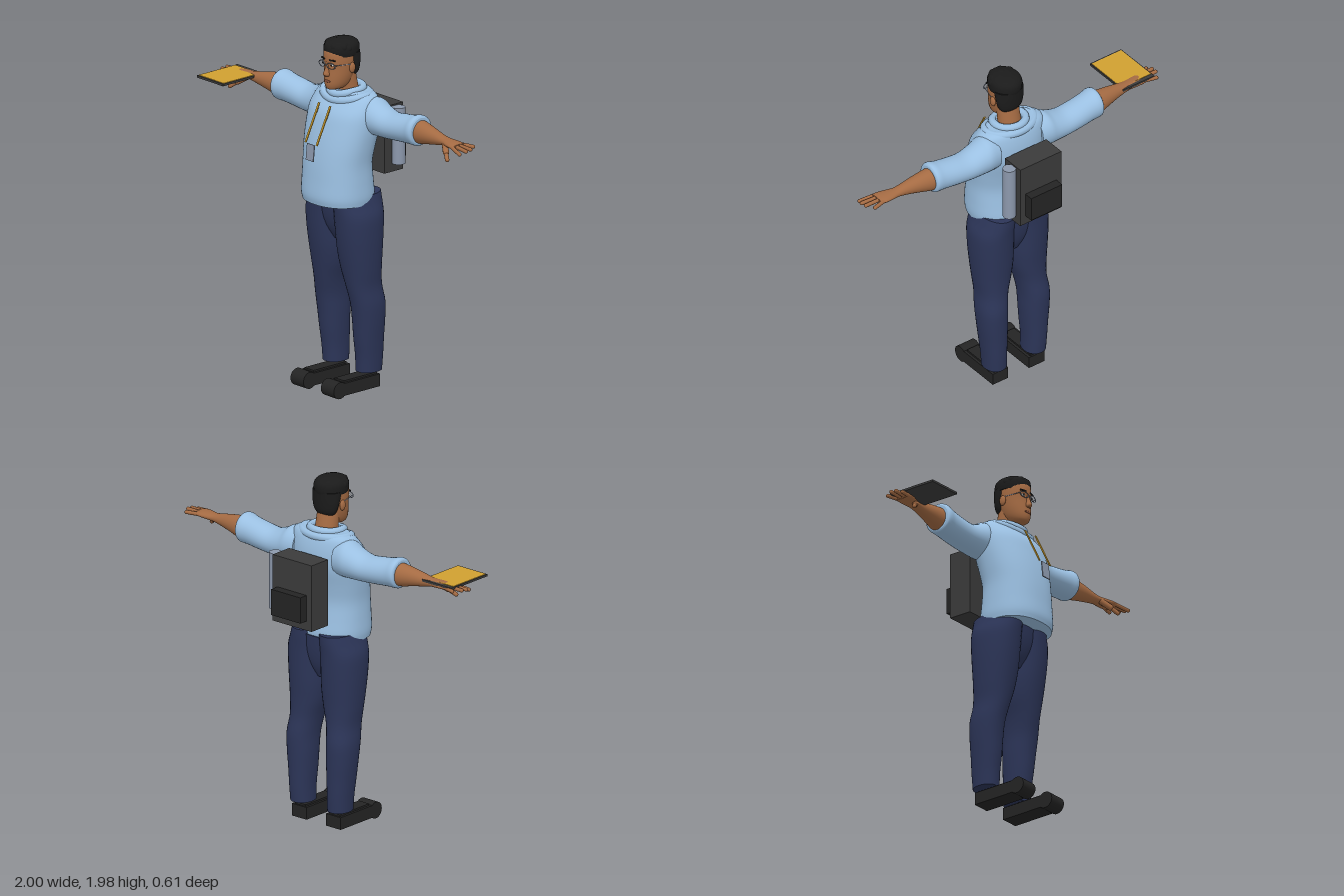
import * as THREE from 'three';

const V = (x, y, z) => new THREE.Vector3(x, y, z);
const mat = (name, color) => Object.assign(new THREE.MeshStandardMaterial({ color }), { name });

// Smooth capped solid through oval sections.
// axis 'y': [y, cx, cz, rx, rz]; axis 'x': [x, cy, cz, ry, rz], with side = +1 or -1.
function loft(sections, { axis = 'y', side = 1, n = 32, power = 2, steps = 4 } = {}) {
  const mid = new THREE.CatmullRomCurve3(sections.map(s => V(s[0], s[1], s[2])), false, 'catmullrom');
  const rad = new THREE.CatmullRomCurve3(sections.map(s => V(s[3], s[4], 0)), false, 'catmullrom');
  const rows = (sections.length - 1) * steps;
  const pos = [], idx = [];
  const flip = axis === 'x' && side > 0;
  const tri = (a, b, c) => (flip ? idx.push(a, c, b) : idx.push(a, b, c));
  const put = (u, p, q) => (axis === 'y' ? pos.push(p, u, q) : pos.push(side * u, p, q));
  const bend = v => Math.sign(v) * Math.abs(v) ** (2 / power);
  const ring = (t) => {
    const c = mid.getPoint(t), r = rad.getPoint(t);
    for (let i = 0; i < n; i++) {
      const a = (i / n) * Math.PI * 2;
      put(c.x, c.y + r.x * bend(Math.cos(a)), c.z + r.y * bend(Math.sin(a)));
    }
    return c;
  };
  for (let k = 0; k <= rows; k++) ring(k / rows);
  for (let k = 0; k < rows; k++) for (let i = 0; i < n; i++) {
    const a = k * n + i, b = k * n + (i + 1) % n;
    tri(a, a + n, b);
    tri(b, a + n, b + n);
  }
  for (const t of [0, 1]) {
    const base = pos.length / 3, c = ring(t);
    put(c.x, c.y, c.z);
    for (let i = 0; i < n; i++) {
      const a = base + i, b = base + (i + 1) % n;
      t ? tri(base + n, b, a) : tri(base + n, a, b);
    }
  }
  const g = new THREE.BufferGeometry();
  g.setAttribute('position', new THREE.Float32BufferAttribute(pos, 3));
  g.setIndex(idx);
  g.computeVertexNormals();
  return g;
}

export function createModel() {
  const model = new THREE.Group();
  model.name = 'standingMan';
  const shirt = mat('light blue shirt', 0x9bc0e2), navy = mat('navy trousers', 0x2c3558);
  const skin = mat('skin', 0xa56b43), hair = mat('black hair', 0x1b1b1b);
  const gold = mat('gold', 0xd0a030), charcoal = mat('charcoal', 0x3b3b3b);
  const black = mat('black shoe', 0x242424), steel = mat('steel grey', 0x8c98ac);
  const lip = mat('lip brown', 0x87503a), white = mat('eye white', 0xd8d8d8);

  const add = (name, geo, material, x = 0, y = 0, z = 0) => {
    const m = new THREE.Mesh(geo, material);
    m.name = name;
    m.position.set(x, y, z);
    model.add(m);
    return m;
  };
  const box = (name, w, h, d, material, x, y, z) => add(name, new THREE.BoxGeometry(w, h, d), material, x, y, z);
  const ball = (name, rx, ry, rz, material, x, y, z) =>
    add(name, new THREE.SphereGeometry(1, 18, 12).scale(rx, ry, rz), material, x, y, z);
  // Round-ended rod from a to b
  const rod = (name, a, b, r, material) => {
    const m = add(name, new THREE.CapsuleGeometry(r, a.distanceTo(b), 4, 10), material);
    m.position.copy(a).lerp(b, 0.5);
    m.quaternion.setFromUnitVectors(V(0, 1, 0), b.clone().sub(a).normalize());
    return m;
  };

  // Shirt body and loose collar rolls
  add('shirtBody', loft([
    [1.075, 0, 0.1, 0.2, 0.172], [1.12, 0, 0.1, 0.206, 0.18], [1.2, 0, 0.102, 0.204, 0.172],
    [1.3, 0, 0.102, 0.203, 0.163], [1.4, 0, 0.086, 0.215, 0.162], [1.5, 0, 0.062, 0.226, 0.16],
    [1.58, 0, 0.048, 0.226, 0.146], [1.64, 0, 0.03, 0.213, 0.118], [1.675, 0, 0.02, 0.19, 0.095],
    [1.695, 0, 0.022, 0.14, 0.08],
  ], { n: 48, power: 2.25 }), shirt);
  const roll = (name, rx, front, back, yf, ys, yb, r) => {
    const pts = [];
    for (let i = 0; i < 16; i++) {
      const a = (i / 16) * Math.PI * 2, c = Math.cos(a);
      const y = c > 0 ? ys + (yf - ys) * c * c : ys + (yb - ys) * c * c;
      pts.push(V(rx * Math.sin(a), y, (front + back) / 2 + c * (front - back) / 2));
    }
    add(name, new THREE.TubeGeometry(new THREE.CatmullRomCurve3(pts, true), 64, r, 10, true), shirt);
  };
  roll('collar', 0.092, 0.125, -0.05, 1.675, 1.695, 1.7, 0.022);
  roll('collarFold', 0.15, 0.135, -0.065, 1.642, 1.672, 1.672, 0.024);

  // Trousers: seat and two legs
  add('trouserSeat', loft([
    [0.85, 0, 0.045, 0.05, 0.07], [0.92, 0, 0.048, 0.13, 0.105],
    [1.0, 0, 0.05, 0.19, 0.125], [1.1, 0, 0.05, 0.19, 0.135],
  ]), navy);
  for (const s of [1, -1]) {
    add(s > 0 ? 'leftTrouserLeg' : 'rightTrouserLeg', loft([
      [0.11, 0.133, -0.005, 0.063, 0.075], [0.2, 0.136, -0.005, 0.066, 0.08],
      [0.3, 0.138, 0, 0.073, 0.087], [0.4, 0.141, 0.003, 0.08, 0.093],
      [0.5, 0.142, 0.01, 0.083, 0.1], [0.6, 0.13, 0.028, 0.086, 0.103],
      [0.7, 0.12, 0.038, 0.104, 0.112], [0.8, 0.116, 0.044, 0.115, 0.124],
      [0.9, 0.117, 0.048, 0.118, 0.134], [1.0, 0.115, 0.05, 0.117, 0.142],
      [1.07, 0.104, 0.05, 0.104, 0.148], [1.12, 0.096, 0.05, 0.094, 0.15],
    ].map(([y, cx, ...r]) => [y, s * cx, ...r]), { power: 2.2 }), navy);

    // Shoe: flat body with a round toe
    box('shoeBody', 0.105, 0.07, 0.29, black, s * 0.123, 0.05, 0.095);
    box('shoeUpper', 0.075, 0.012, 0.24, black, s * 0.123, 0.089, 0.08);
    add('shoeToe', new THREE.CylinderGeometry(0.047, 0.047, 0.105, 28).rotateZ(Math.PI / 2), black, s * 0.123, 0.05, 0.24);

    // Sleeve, forearm and palm
    const along = { axis: 'x', side: s };
    add('sleeve', loft([
      [0.14, 1.565, 0, 0.1, 0.088], [0.2, 1.568, 0, 0.104, 0.097], [0.25, 1.556, 0, 0.09, 0.093],
      [0.33, 1.546, 0, 0.076, 0.088], [0.42, 1.554, 0, 0.077, 0.085], [0.5, 1.564, 0.003, 0.081, 0.083],
      [0.54, 1.57, 0.005, 0.086, 0.086], [0.56, 1.57, 0.005, 0.084, 0.083], [0.568, 1.57, 0.005, 0.074, 0.073],
    ], along), shirt);
    add('forearmAndPalm', loft([
      [0.5, 1.565, 0, 0.068, 0.064], [0.57, 1.565, 0.003, 0.065, 0.06], [0.65, 1.567, 0.01, 0.05, 0.048],
      [0.72, 1.567, 0.015, 0.036, 0.037], [0.78, 1.567, 0.018, 0.024, 0.033], [0.82, 1.567, 0.022, 0.021, 0.041],
      [0.87, 1.568, 0.027, 0.018, 0.05], [0.905, 1.568, 0.03, 0.013, 0.049],
    ], along), skin);
    // Fingers: [root z, tip x, tip y, tip z]
    for (const [z0, x1, y1, z1] of [
      [0.065, 0.975, 1.552, 0.09], [0.042, 0.987, 1.564, 0.055], [0.018, 0.985, 1.568, 0.02], [-0.006, 0.957, 1.568, -0.025],
    ]) rod('finger', V(s * 0.88, 1.568, z0), V(s * x1, y1, z1), 0.011, skin);
    rod('thumbBase', V(s * 0.8, 1.56, 0.04), V(s * 0.845, 1.528, 0.072), 0.017, skin);
    rod('thumbTip', V(s * 0.845, 1.528, 0.072), V(s * 0.88, 1.5, 0.095), 0.012, skin);

    // Lanyard cord
    const cord = box('lanyardCord', 0.012, 0.228, 0.006, gold, s * 0.045, 1.525, 0.245);
    cord.rotation.x = -Math.atan2(0.1, 0.205);

    // Ear, eye, brow and spectacle rim
    ball('ear', 0.012, 0.03, 0.02, skin, s * 0.084, 1.83, 0.07);
    ball('eye', 0.015, 0.007, 0.006, white, s * 0.034, 1.853, 0.172);
    ball('iris', 0.006, 0.006, 0.003, hair, s * 0.034, 1.853, 0.177);
    box('brow', 0.036, 0.007, 0.008, hair, s * 0.036, 1.879, 0.174).rotation.y = s * 0.3;
    const rim = add('spectacleRim', new THREE.TorusGeometry(0.026, 0.0025, 6, 28).scale(1.1, 0.62, 1), steel, s * 0.037, 1.85, 0.184);
    rim.rotation.y = s * 0.2;
    rod('spectacleArm', V(s * 0.064, 1.856, 0.178), V(s * 0.087, 1.85, 0.07), 0.002, steel);
  }
  rod('spectacleBridge', V(-0.01, 1.854, 0.189), V(0.01, 1.854, 0.189), 0.002, steel);

  // Badge hanging from the lanyard
  box('badge', 0.06, 0.092, 0.006, steel, 0, 1.376, 0.3).rotation.x = -0.1;

  // Neck and head
  add('neck', loft([
    [1.62, 0, 0.025, 0.075, 0.065], [1.7, 0, 0.035, 0.066, 0.06], [1.8, 0, 0.055, 0.064, 0.06],
  ]), skin);
  add('head', loft([
    [1.705, 0, 0.125, 0.022, 0.038], [1.715, 0, 0.115, 0.044, 0.06], [1.74, 0, 0.102, 0.061, 0.08],
    [1.78, 0, 0.092, 0.073, 0.089], [1.83, 0, 0.084, 0.08, 0.094], [1.88, 0, 0.082, 0.083, 0.099],
    [1.92, 0, 0.08, 0.08, 0.097], [1.95, 0, 0.08, 0.062, 0.078],
  ]), skin);
  add('nose', loft([
    [1.785, 0, 0.178, 0.014, 0.012], [1.798, 0, 0.181, 0.018, 0.023],
    [1.825, 0, 0.177, 0.011, 0.017], [1.865, 0, 0.172, 0.009, 0.011],
  ], { n: 16 }), skin);
  ball('lips', 0.025, 0.008, 0.008, lip, 0, 1.757, 0.177);

  // Hair: crown, cropped back and a wavy fringe
  add('hairCrown', loft([
    [1.895, 0, 0.072, 0.088, 0.097], [1.92, 0, 0.073, 0.091, 0.103], [1.95, 0, 0.073, 0.088, 0.1],
    [1.972, 0, 0.073, 0.068, 0.08], [1.984, 0, 0.073, 0.03, 0.04],
  ]), hair);
  add('hairBack', loft([
    [1.77, 0, 0.03, 0.05, 0.03], [1.8, 0, 0.026, 0.074, 0.043],
    [1.85, 0, 0.03, 0.086, 0.053], [1.91, 0, 0.04, 0.088, 0.066],
  ]), hair);
  for (let i = 0; i < 9; i++) {
    const a = ((i - 4) / 4) * 1.35;
    ball('fringeLock', 0.026, 0.026, 0.025, hair, 0.068 * Math.sin(a), 1.938 + 0.008 * (i % 2), 0.07 + 0.08 * Math.cos(a));
  }
  for (let i = 0; i < 5; i++)
    ball('crownLock', 0.028, 0.022, 0.04, hair, (i - 2) * 0.026, 1.965 - 0.006 * Math.abs(i - 2), 0.1 - 0.02 * (i % 2));

  // Backpack with pocket and side bottle
  box('backpack', 0.28, 0.38, 0.136, charcoal, 0, 1.39, -0.181);
  box('backpackPocket', 0.21, 0.148, 0.055, black, 0, 1.328, -0.274);
  add('bottle', new THREE.CylinderGeometry(0.036, 0.036, 0.32, 28), steel, 0.17, 1.412, -0.19);

  // Tablet resting on the right hand
  box('tablet', 0.212, 0.012, 0.297, charcoal, -0.84, 1.577, 0.128);
  box('tabletScreen', 0.2, 0.003, 0.265, gold, -0.84, 1.584, 0.135);

  return model;
}
